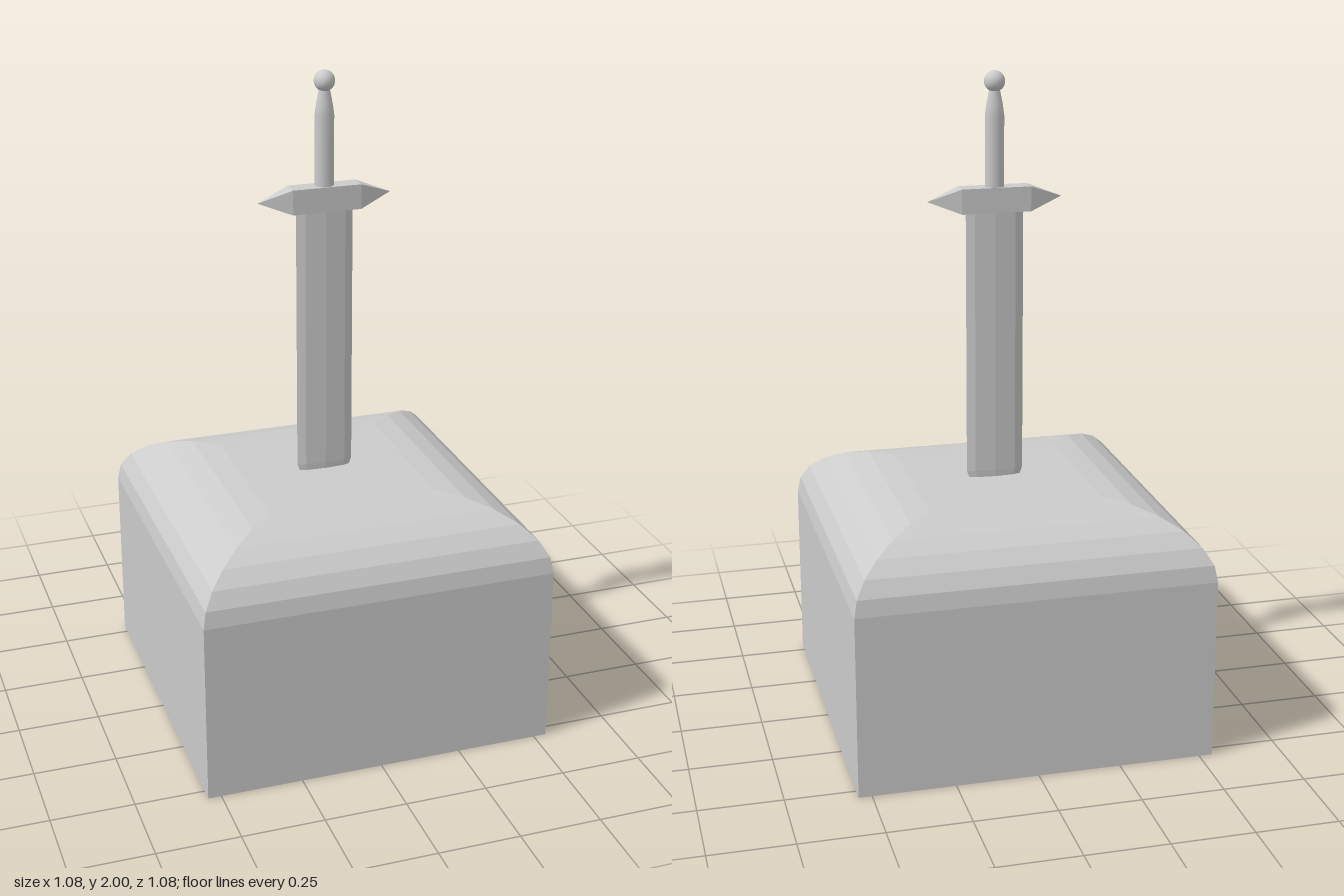
import * as THREE from 'three';

const flat = new THREE.MeshStandardMaterial({ color: 0xcccccc, flatShading: true });
const smooth = new THREE.MeshStandardMaterial({ color: 0xcccccc });

// Revolved profile of [radius, height] pairs
function turned(profile, sides, phiStart = 0) {
  return new THREE.LatheGeometry(profile.map(([r, y]) => new THREE.Vector2(r, y)), sides, phiStart);
}

// Square section: each radius is the half width of the square
function squared(profile) {
  return turned(profile.map(([r, y]) => [r * Math.SQRT2, y]), 4, Math.PI / 4);
}

export function createModel() {
  const model = new THREE.Group();
  const add = (name, geometry, material) => {
    const mesh = new THREE.Mesh(geometry, material);
    mesh.name = name;
    model.add(mesh);
    return mesh;
  };

  // Square stone with a stepped elliptical shoulder
  const stone = [[0, 0], [0.54, 0]];
  for (let i = 0; i <= 6; i++) {
    const a = (i * Math.PI) / 12;
    stone.push([0.262 + 0.278 * Math.cos(a), 0.56 + 0.195 * Math.sin(a)]);
  }
  stone.push([0, 0.755]);
  add('stone', squared(stone), flat);

  // Thin lens-shaped blade, drawn in slightly where it enters the stone
  const blade = turned([[0, 0.74], [0.9, 0.752], [1, 0.775], [1, 1.6], [0, 1.6]], 8);
  blade.scale(0.088, 1, 0.013);
  add('blade', blade, flat);

  // Crossguard: a bar with a pyramid at each end
  const guard = squared([[0, -0.205], [1, -0.105], [1, 0.105], [0, 0.205]]);
  guard.scale(0.0375, 1, 0.028);
  guard.rotateZ(-Math.PI / 2);
  add('crossguard', guard, flat).position.y = 1.622;

  // Oval grip with a tapered neck
  const grip = turned([[0.029, 1.64], [0.029, 1.87], [0.025, 1.9], [0.016, 1.945], [0.014, 1.96]], 16);
  grip.scale(1, 1, 0.85);
  add('grip', grip, smooth);

  // Ball pommel
  add('pommel', new THREE.SphereGeometry(0.031, 24, 16), smooth).position.y = 1.969;

  return model;
}
